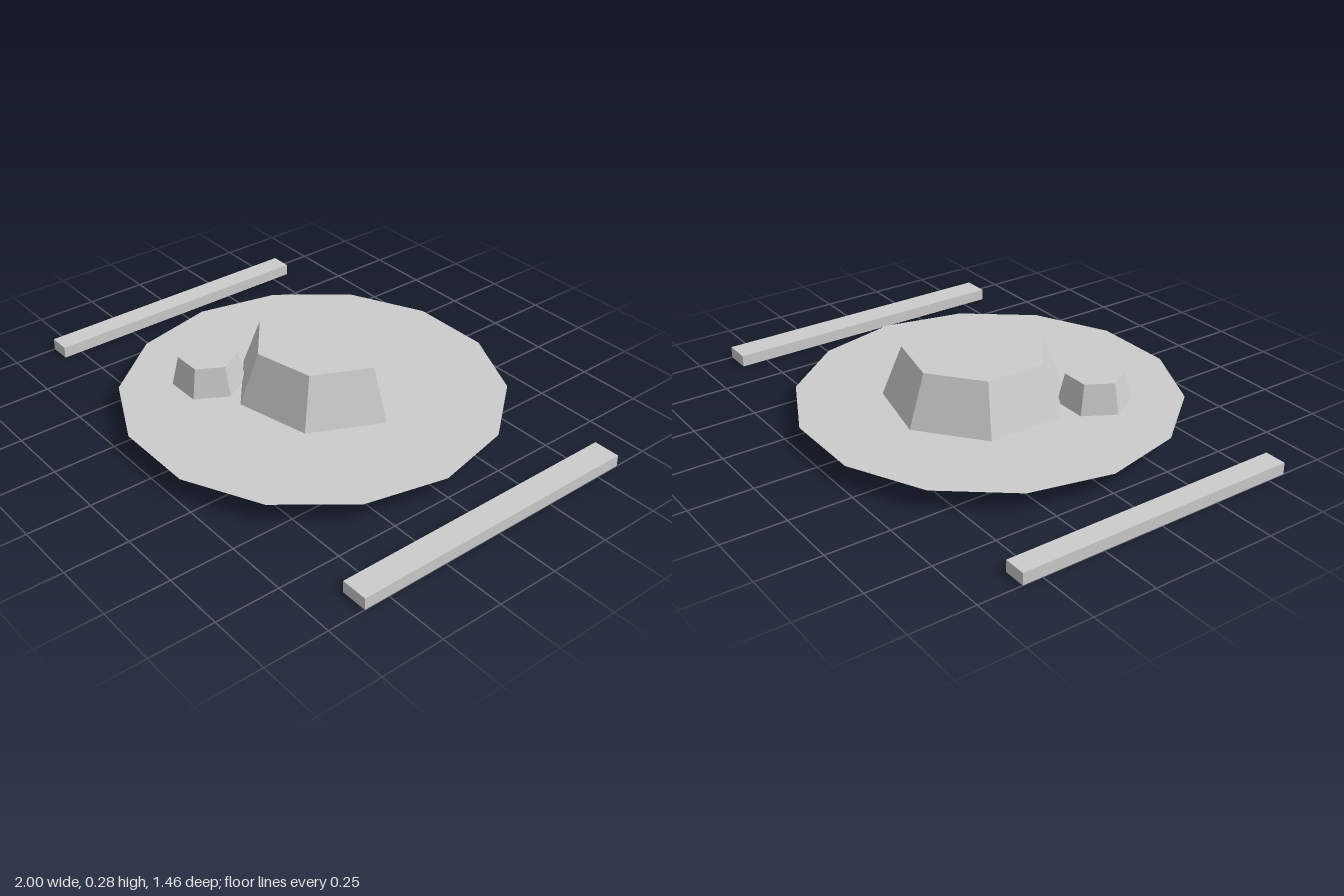
import * as THREE from 'three';

const grey = new THREE.MeshStandardMaterial({ color: 0xcccccc, flatShading: true, side: THREE.DoubleSide });
grey.name = 'plain grey';

// Flat-sided frustum with one corner pointing along +x
function frustum(name, sides, rTop, rBottom, y0, y1, x, z) {
  const geo = new THREE.CylinderGeometry(rTop, rBottom, y1 - y0, sides, 1, false, Math.PI / 2);
  const mesh = new THREE.Mesh(geo, grey);
  mesh.name = name;
  mesh.position.set(x, (y0 + y1) / 2, z);
  return mesh;
}

// Long bar, hollow and open underneath
function bar(name, x0, x1, z0, z1, height) {
  const geo = new THREE.BoxGeometry(x1 - x0, height, z1 - z0);
  const index = Array.from(geo.index.array);
  index.splice(18, 6); // remove the bottom face
  geo.setIndex(index);
  geo.clearGroups();
  const mesh = new THREE.Mesh(geo, grey);
  mesh.name = name;
  mesh.position.set((x0 + x1) / 2, height / 2, (z0 + z1) / 2);
  return mesh;
}

export function createModel() {
  const group = new THREE.Group();
  group.name = 'plate set';
  const rim = 0.081;

  // Plate flaring out to a wide rim
  group.add(frustum('plate', 14, 0.749, 0.58, 0, rim, -0.005, 0));

  // Food mounds standing on the plate
  group.add(frustum('largeMound', 7, 0.281, 0.358, rim, 0.283, -0.004, -0.06));
  group.add(frustum('smallMound', 6, 0.115, 0.142, rim, 0.2, -0.293, 0.286));

  // Cutlery bars on either side
  group.add(bar('rightBar', -1, -0.912, -0.578, 0.575, 0.047));
  group.add(bar('leftBar', 0.893, 1, -0.605, 0.602, 0.047));

  return group;
}
